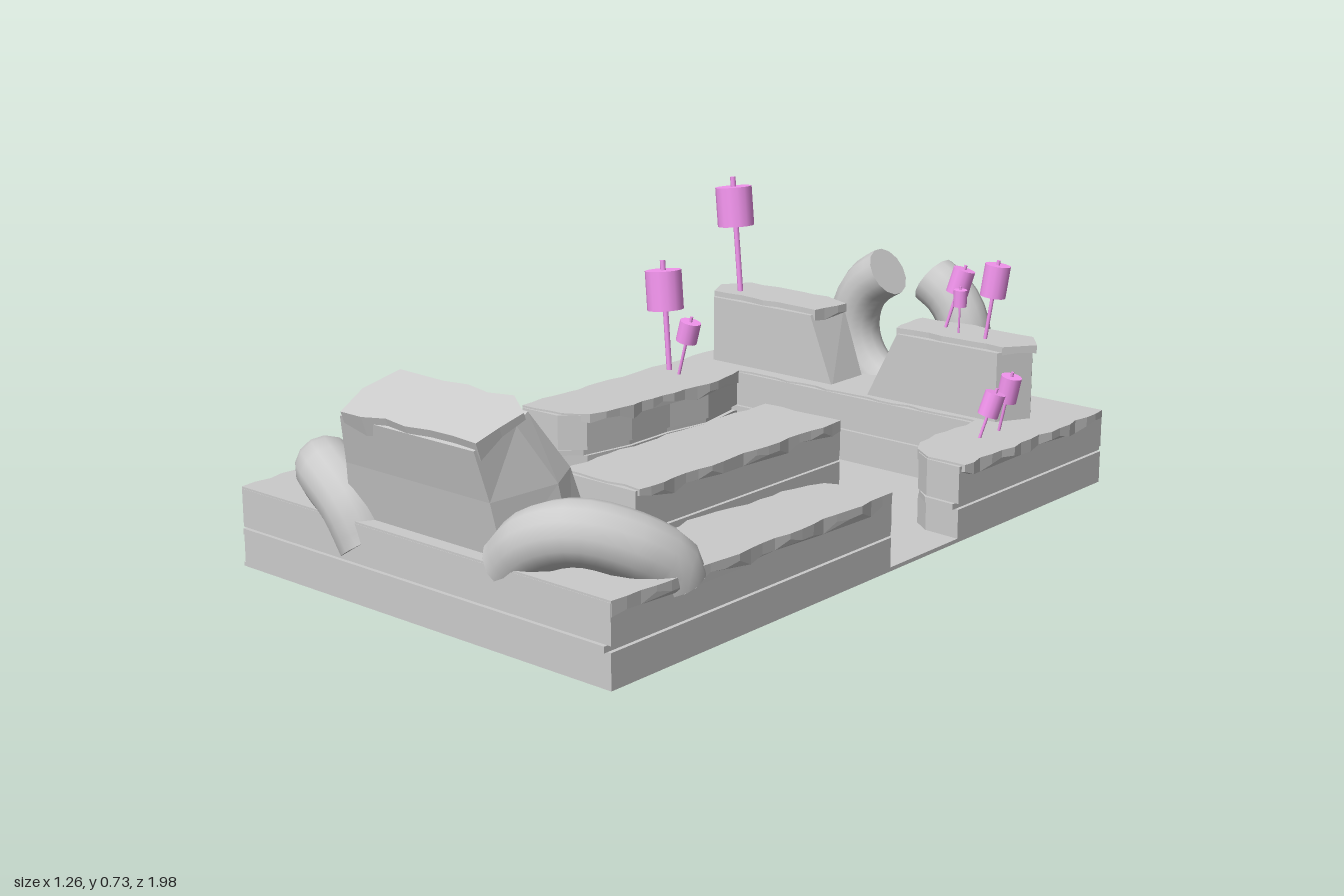
import * as THREE from 'three';

const grey = new THREE.MeshStandardMaterial({ color: 0xcccccc, flatShading: true, side: THREE.DoubleSide });
const smoothGrey = new THREE.MeshStandardMaterial({ color: 0xcccccc });
const pink = new THREE.MeshStandardMaterial({ color: 0xf596f0 });

function named(name, geometry, material = grey) {
  const mesh = new THREE.Mesh(geometry, material);
  mesh.name = name;
  return mesh;
}

// Smooth repeatable wobble in -1..1
const wobble = (x, z, k) => 0.6 * Math.sin(37 * x + 29 * z + k) + 0.4 * Math.sin(83 * x - 71 * z + 2 * k);

// Move every outline point [x, z] outwards by d(x, z)
function offset(pts, d) {
  return pts.map(([x, z], i) => {
    const p = pts[(i + pts.length - 1) % pts.length], q = pts[(i + 1) % pts.length];
    const a = new THREE.Vector2(-(z - p[1]), -(x - p[0])).normalize();
    const b = new THREE.Vector2(-(q[1] - z), -(q[0] - x)).normalize();
    const n = a.clone().add(b).normalize();
    const len = d(x, z) / Math.max(0.5, n.dot(a));
    return [x + n.x * len, z - n.y * len * -1];
  });
}

// Split the edges of an outline into short steps
function resample(pts, step) {
  return pts.flatMap(([x, z], i) => {
    const [u, v] = pts[(i + 1) % pts.length];
    const n = Math.max(1, Math.round(Math.hypot(u - x, v - z) / step));
    return Array.from({ length: n }, (_, k) => [x + (u - x) * k / n, z + (v - z) * k / n]);
  });
}

// Upright slab over an outline
function slab(pts, y0, y1) {
  const shape = new THREE.Shape(pts.map(([x, z]) => new THREE.Vector2(x, -z)));
  const g = new THREE.ExtrudeGeometry(shape, { depth: y1 - y0, bevelEnabled: false });
  return g.rotateX(-Math.PI / 2).translate(0, y0, 0);
}

// Icing slab with a wavy rim and a dripping lower edge
function icing(pts, top, drop, { step = 0.045, out = 0.008, wave = 0.008, flat = () => false } = {}) {
  const rim = offset(resample(pts, step), (x, z) => (flat(x, z) ? 0.001 : out + wave * wobble(x, z, 1)));
  const g = slab(rim, top - drop, top);
  const p = g.attributes.position;
  for (let i = 0; i < p.count; i++) {
    if (p.getY(i) < top - drop / 2) p.setY(i, top - drop * (0.75 + 0.4 * wobble(p.getX(i), p.getZ(i), 3)));
  }
  g.computeVertexNormals();
  return g;
}

// Faceted solid through rings of [x, y, z] corners, bottom to top
function loft(rings) {
  const n = rings[0].length, idx = [];
  for (let r = 0; r < rings.length - 1; r++) {
    for (let i = 0; i < n; i++) {
      const a = r * n + i, b = r * n + (i + 1) % n;
      idx.push(a, b, b + n, a, b + n, a + n);
    }
  }
  const t = (rings.length - 1) * n;
  for (let i = 1; i < n - 1; i++) idx.push(t, t + i, t + i + 1, 0, i + 1, i);
  const g = new THREE.BufferGeometry();
  g.setAttribute('position', new THREE.Float32BufferAttribute(rings.flat(2), 3));
  g.setIndex(idx);
  const flatG = g.toNonIndexed();
  flatG.computeVertexNormals();
  return flatG;
}
const rect = (x0, x1, z0, z1) => [[x0, z1], [x1, z1], [x1, z0], [x0, z0]];
const at = (pts, y) => pts.map(([x, z]) => [x, y, z]);

// Thick bent tube with closed ends
function bentTube(name, pts, radius, segments = 14) {
  const group = new THREE.Group();
  group.name = name;
  const curve = new THREE.CatmullRomCurve3(pts.map((p) => new THREE.Vector3(...p)));
  group.add(named(name + 'Tube', new THREE.TubeGeometry(curve, segments, radius, 14), smoothGrey));
  for (const [t, s] of [[0, -1], [1, 1]]) {
    const end = named(name + 'End', new THREE.CircleGeometry(radius, 14));
    end.position.copy(curve.getPoint(t));
    end.lookAt(end.position.clone().addScaledVector(curve.getTangent(t), s));
    group.add(end);
  }
  return group;
}

// Marshmallow on a stick running from base to tip
function marshmallow(base, tip, radius, height, gap) {
  const group = new THREE.Group();
  group.name = 'marshmallowStick';
  const a = new THREE.Vector3(...base), d = new THREE.Vector3(...tip).sub(a), len = d.length();
  const stick = new THREE.CylinderGeometry(radius * 0.15, radius * 0.15, len, 8).translate(0, len / 2, 0);
  const sweet = new THREE.CylinderGeometry(radius, radius, height, 14).translate(0, len - gap - height / 2, 0);
  group.add(named('stick', stick, pink), named('marshmallow', sweet, pink));
  group.position.copy(a);
  group.quaternion.setFromUnitVectors(new THREE.Vector3(0, 1, 0), d.normalize());
  return group;
}

export function createModel() {
  const model = new THREE.Group();

  // Floor
  model.add(named('floor', new THREE.BoxGeometry(1.2, 0.01, 1.925).translate(0, 0.005, -0.0125)));

  // Layered cake walls and centre island
  const walls = {
    frontWall: [[-0.595, 0.95], [0.6, 0.95], [0.6, -0.03], [0.52, -0.02], [0.44, 0.02], [0.42, 0.1], [0.41, 0.22],
      [0.385, 0.45], [0.41, 0.63], [-0.4, 0.63], [-0.405, 0.42], [-0.45, 0.3], [-0.48, 0.285], [-0.595, 0.285]],
    backWall: [[-0.595, 0.005], [-0.47, 0], [-0.41, -0.05], [-0.385, -0.2], [-0.39, -0.36], [-0.37, -0.5], [-0.4, -0.66],
      [0.41, -0.66], [0.415, -0.41], [0.45, -0.35], [0.5, -0.315], [0.6, -0.31], [0.6, -0.975], [-0.595, -0.975]],
    island: rect(-0.11, 0.13, -0.445, 0.355),
  };
  const outerEnd = (x, z) => z > 0.94 || z < -0.96;
  for (const [name, pts] of Object.entries(walls)) {
    model.add(
      named(name + 'LowerLayer', slab(pts, 0, 0.085)),
      named(name + 'Filling', slab(offset(pts, () => -0.01), 0.085, 0.1)),
      named(name + 'UpperLayer', slab(pts, 0.1, 0.195)),
      named(name + 'Icing', icing(pts, 0.2, 0.035, { flat: outerEnd })),
    );
  }

  // Large leaning block at the front
  model.add(named('frontBlock', loft([
    [[-0.25, 0.19, 0.91], [0.25, 0.19, 0.91], [0.29, 0.19, 0.74], [0.27, 0.19, 0.65], [0, 0.19, 0.68], [-0.16, 0.19, 0.67], [-0.25, 0.19, 0.75]],
    [[-0.23, 0.33, 0.935], [0.235, 0.33, 0.935], [0.27, 0.34, 0.76], [0.25, 0.36, 0.7], [0.02, 0.35, 0.73], [-0.15, 0.37, 0.72], [-0.23, 0.34, 0.8]],
    [[-0.21, 0.45, 0.965], [0.22, 0.45, 0.965], [0.225, 0.48, 0.84], [0.21, 0.5, 0.79], [0, 0.5, 0.79], [-0.19, 0.5, 0.79], [-0.21, 0.48, 0.84]],
  ])));
  const crown = named('frontBlockIcing', icing([[-0.19, 0.1], [-0.06, 0.095], [0.22, 0.09], [0.23, -0.06],
    [0.17, -0.1], [-0.19, -0.1], [-0.215, 0]], 0.02, 0.045, { step: 0.07, out: 0.008, wave: 0.01 }));
  crown.position.set(0, 0.477, 0.88);
  crown.rotation.x = 0.33;
  model.add(crown);

  // Small block leaning behind it
  model.add(named('smallBlock', loft([at(rect(-0.27, -0.11, 0.65, 0.82), 0.19), at(rect(-0.24, -0.13, 0.685, 0.8), 0.385)])));
  model.add(named('smallBlockIcing', icing([[-0.25, 0.79], [-0.12, 0.79], [-0.12, 0.69], [-0.15, 0.67], [-0.23, 0.675], [-0.255, 0.71]],
    0.4, 0.035, { out: 0.004, wave: 0.004 })));

  // Curled arms beside the front block
  model.add(bentTube('leftArm', [[0.245, 0.18, 0.88], [0.32, 0.25, 0.885], [0.42, 0.285, 0.855], [0.51, 0.255, 0.78], [0.55, 0.2, 0.71], [0.55, 0.17, 0.7]], 0.075));
  model.add(bentTube('rightArm', [[-0.21, 0.13, 0.89], [-0.26, 0.21, 0.895], [-0.37, 0.265, 0.87], [-0.46, 0.235, 0.79], [-0.5, 0.18, 0.72], [-0.505, 0.15, 0.7]], 0.075));

  // Two blocks at the back, with sloping inner ends
  const backBlocks = {
    backRightBlock: {
      foot: [[-0.53, -0.71], [-0.1, -0.71], [-0.1, -0.85], [-0.25, -0.89], [-0.52, -0.89], [-0.56, -0.8]],
      head: [[-0.53, -0.71], [-0.18, -0.71], [-0.17, -0.85], [-0.25, -0.89], [-0.52, -0.89], [-0.56, -0.8]],
    },
    backLeftBlock: {
      foot: [[0.03, -0.69], [0.45, -0.69], [0.5, -0.78], [0.45, -0.86], [0.2, -0.87], [0.06, -0.85]],
      head: [[0.13, -0.69], [0.45, -0.69], [0.5, -0.78], [0.45, -0.86], [0.22, -0.87], [0.12, -0.85]],
    },
  };
  for (const [name, { foot, head }] of Object.entries(backBlocks)) {
    model.add(named(name, loft([at(foot, 0.19), at(head, 0.385)])));
    model.add(named(name + 'Icing', icing(head, 0.4, 0.038, { out: 0.014, wave: 0.007 })));
  }

  // Broken upright ring at the back, open at the top
  for (const [name, side] of [['leftRingHalf', 1], ['rightRingHalf', -1]]) {
    const pts = Array.from({ length: 9 }, (_, i) => {
      const a = 0.42 + (Math.PI - 0.38) * i / 8;
      return [side * 0.19 * Math.sin(a), 0.325 + 0.178 * Math.cos(a), -0.93];
    });
    model.add(bentTube(name, pts, 0.07, 16));
  }

  // Marshmallows: base, tip, radius, height, stick showing on top
  const sweets = [
    [[-0.48, 0.39, -0.77], [-0.52, 0.725, -0.78], 0.052, 0.112, 0.028],
    [[-0.55, 0.19, -0.54], [-0.587, 0.51, -0.553], 0.052, 0.112, 0.028],
    [[-0.5, 0.19, -0.52], [-0.458, 0.37, -0.53], 0.03, 0.06, 0.015],
    [[0.37, 0.39, -0.75], [0.393, 0.61, -0.77], 0.034, 0.085, 0.012],
    [[0.215, 0.39, -0.79], [0.257, 0.57, -0.82], 0.03, 0.068, 0.012],
    [[0.28, 0.39, -0.76], [0.283, 0.525, -0.76], 0.018, 0.045, 0.008],
    [[0.5, 0.19, -0.63], [0.535, 0.36, -0.635], 0.027, 0.068, 0.012],
    [[0.5, 0.19, -0.54], [0.532, 0.33, -0.57], 0.027, 0.062, 0.012],
  ];
  sweets.forEach((s) => model.add(marshmallow(...s)));

  return model;
}
